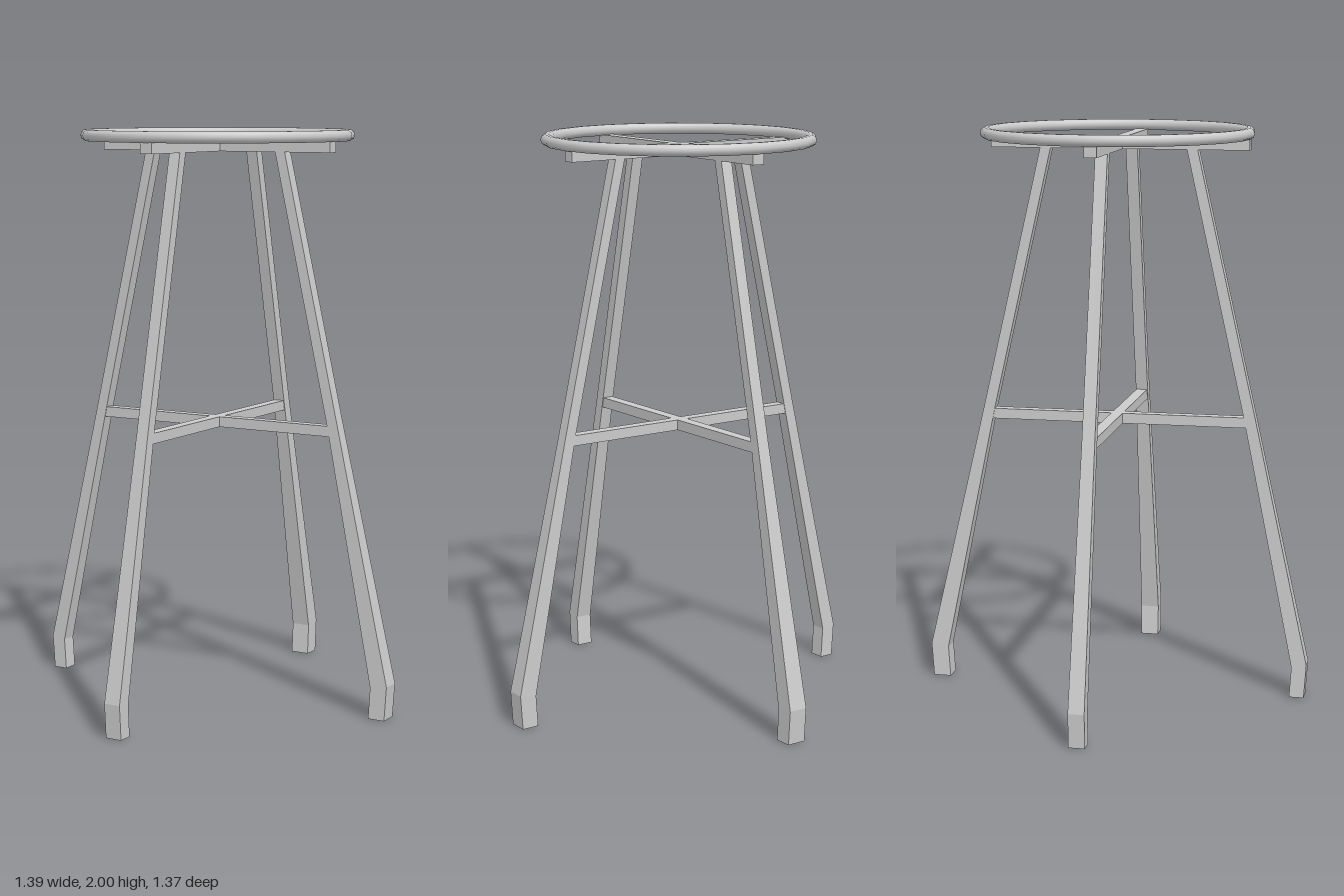
import * as THREE from 'three';

const metal = new THREE.MeshStandardMaterial({ color: 0xcccccc });
const flatMetal = new THREE.MeshStandardMaterial({ color: 0xcccccc, flatShading: true });

// Square-section leg leaning along +x. Each section, from the floor up, is
// [inner x, inner y, outer x, outer y, half width].
function legGeometry(sections) {
  const rows = sections.length - 1;
  const geometry = new THREE.BoxGeometry(1, 1, 1, 1, rows, 1);
  const p = geometry.attributes.position;
  for (let i = 0; i < p.count; i++) {
    const [ix, iy, ox, oy, half] = sections[Math.round((p.getY(i) + 0.5) * rows)];
    const outer = p.getX(i) > 0;
    p.setXYZ(i, outer ? ox : ix, outer ? oy : iy, Math.sign(p.getZ(i)) * half);
  }
  geometry.computeVertexNormals();
  return geometry;
}

// Horizontal bar along x or z between two end positions
function bar(name, axis, from, to, y, height, width) {
  const length = to - from, mid = (from + to) / 2;
  const alongX = axis === 'x';
  const mesh = new THREE.Mesh(
    new THREE.BoxGeometry(alongX ? length : width, height, alongX ? width : length), flatMetal);
  mesh.position.set(alongX ? mid : 0, y, alongX ? 0 : mid);
  mesh.name = name;
  return mesh;
}

export function createModel() {
  const stool = new THREE.Group();
  stool.name = 'stool';

  // Seat ring
  const ring = new THREE.Mesh(new THREE.TorusGeometry(0.454, 0.02, 10, 24), metal);
  ring.rotation.x = Math.PI / 2;
  ring.position.y = 1.98;
  ring.name = 'seatRing';
  stool.add(ring);

  // Crossed bars under the seat, and crossed stretchers between the legs
  stool.add(
    bar('seatBarAcross', 'x', -0.457, 0.45, 1.945, 0.04, 0.042),
    bar('seatBarDeep', 'z', -0.445, 0.46, 1.945, 0.04, 0.046),
    bar('stretcherAcross', 'x', -0.47, 0.465, 0.982, 0.036, 0.04),
    bar('stretcherDeep', 'z', -0.455, 0.465, 0.982, 0.036, 0.04));

  // Splayed legs with upright feet: the foot's inner x and thickness,
  // the inner x at the stretcher and at the top, and the foot's half width
  const legs = [
    ['legLeft', 0, 0.62, 0.061, 0.447, 0.238, 0.033],
    ['legBack', Math.PI / 2, 0.617, 0.062, 0.443, 0.233, 0.034],
    ['legRight', Math.PI, 0.64, 0.051, 0.454, 0.243, 0.028],
    ['legFront', -Math.PI / 2, 0.624, 0.052, 0.45, 0.243, 0.03],
  ];
  for (const [name, turn, foot, thick, mid, top, half] of legs) {
    const leg = new THREE.Mesh(legGeometry([
      [foot, 0, foot + thick, 0, half],
      [foot + 0.007, 0.11, foot + thick + 0.008, 0.12, half],
      [mid, 1, mid + 0.04, 1, 0.022],
      [top, 1.93, top + 0.037, 1.93, 0.021],
    ]), flatMetal);
    leg.rotation.y = turn;
    leg.name = name;
    stool.add(leg);
  }
  return stool;
}
